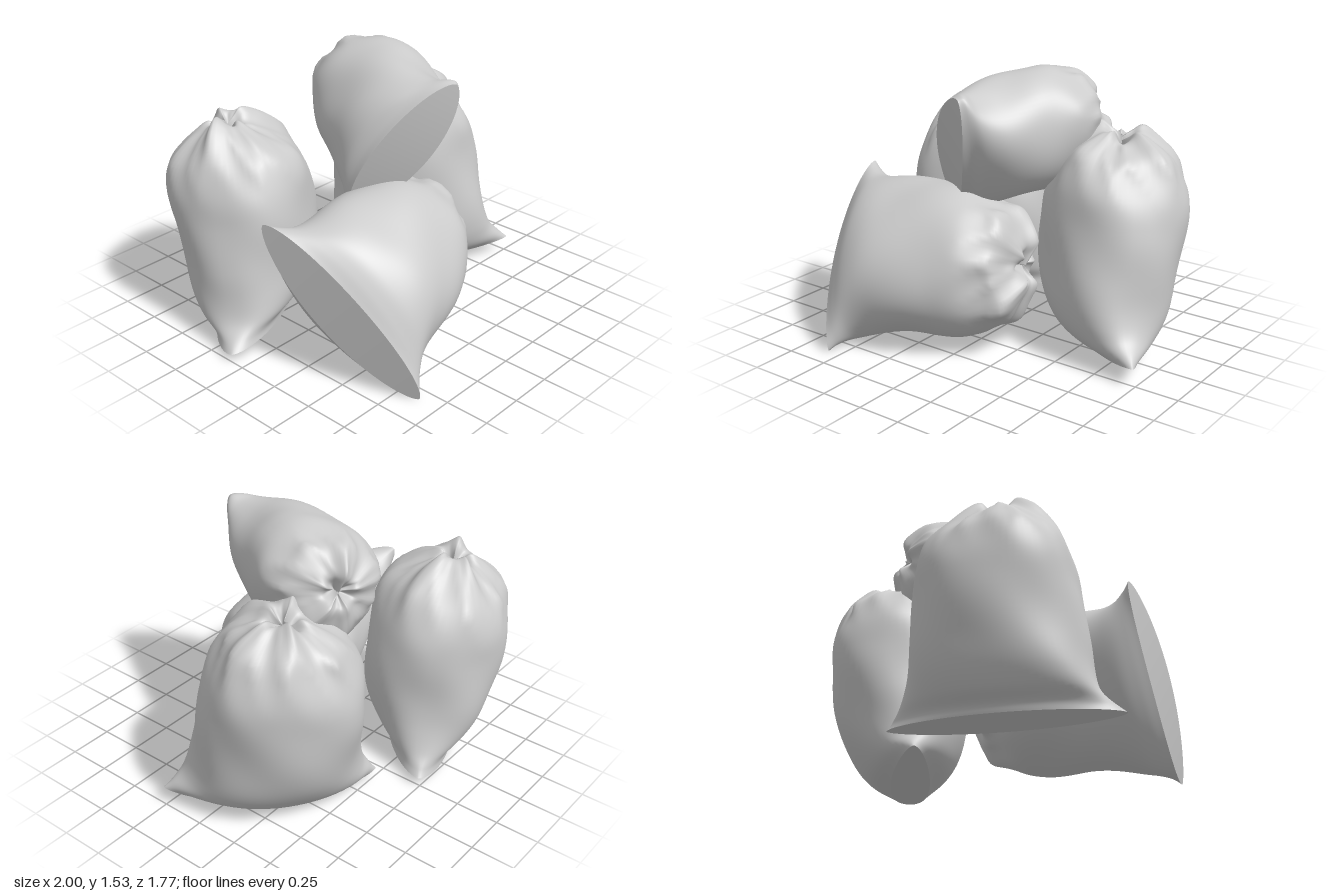
import * as THREE from 'three';

const V = (x, y, z) => new THREE.Vector3(x, y, z);
const material = new THREE.MeshStandardMaterial({ color: 0xcccccc, side: THREE.DoubleSide });

// Sack profile: half width along the seam, position along the axis, half depth
const PROFILE = [
  [0.6, 0, 0.15], [0.565, 0.04, 0.22], [0.51, 0.1, 0.29], [0.475, 0.2, 0.35],
  [0.455, 0.35, 0.385], [0.44, 0.55, 0.4], [0.415, 0.7, 0.39], [0.355, 0.82, 0.345],
  [0.265, 0.9, 0.265], [0.175, 0.96, 0.175], [0.1, 0.99, 0.1], [0.05, 0.96, 0.05], [0.001, 0.93, 0.001],
];

// Sharp-crested fold wave in the range -1..1
const fold = (a) => 1 - 2 * Math.abs(Math.sin(a / 2));

// A filled sack: seam from corner p to corner q with a lens-shaped sole, gathered crumpled mouth at top
function sack(name, { p, q, top, sole, sag, girth = 1, blunt = 1, belly = V(0, 0, 0), seed = 0 }) {
  const RINGS = 72, SEG = 80;
  const base = p.clone().add(q).multiplyScalar(0.5);
  const axis = top.clone().sub(base);
  const X = q.clone().sub(p), seamHalf = X.length() / 2;
  X.normalize();
  const Z = X.clone().cross(axis).normalize();
  const curve = new THREE.CatmullRomCurve3(PROFILE.map(([w, t, d], i) => {
    const k = i > 7 ? girth * blunt : girth;
    return i === 0 ? V(seamHalf, 0, sole) : V(w * k, t, d * k);
  }), false, 'centripetal');

  const pos = [], index = [];
  for (let i = 0; i <= RINGS; i++) {
    const u = i / RINGS;
    const { x: w, y: t, z: d } = curve.getPoint(u);
    const crumple = THREE.MathUtils.smoothstep(u, 0.45, 0.78);
    const body = THREE.MathUtils.smoothstep(u, 0, 0.2);
    const power = THREE.MathUtils.lerp(1.25, 0.88, body);
    for (let j = 0; j < SEG; j++) {
      const a = (j / SEG) * Math.PI * 2, s = Math.sin(a);
      // soft dents over the body, deep gathers towards the mouth
      const dents = 0.02 * body * (Math.sin(3 * a + 9 * t + seed) + Math.sin(5 * a - 13 * t + 2 * seed) * 0.6);
      const gathers = crumple * (0.08 * fold(7 * a + 5 * t + seed * 3) + 0.09 * Math.sin(3 * a - 8 * t + seed)
        + 0.04 * fold(13 * a - 20 * t + seed));
      const r = 1 + dents + gathers;
      const lift = t + crumple * (0.025 * Math.sin(2 * a + seed) + 0.02 * fold(5 * a + seed * 2));
      const v = base.clone().addScaledVector(axis, lift)
        .addScaledVector(belly, Math.sin(Math.PI * Math.min(t, 1)))
        .addScaledVector(sag, s * s * Math.max(1 - t, 0) ** 6)
        .addScaledVector(X, w * r * Math.cos(a))
        .addScaledVector(Z, d * r * Math.sign(s) * Math.abs(s) ** power);
      pos.push(v.x, v.y, v.z);
    }
  }
  for (let i = 0; i < RINGS; i++) {
    for (let j = 0; j < SEG; j++) {
      const k = (j + 1) % SEG;
      const a = i * SEG + j, b = i * SEG + k, c = a + SEG, d = b + SEG;
      index.push(a, c, b, b, c, d);
    }
  }
  // sole: a strip across the lens, on its own vertices so the edge stays crisp
  const start = pos.length / 3;
  pos.push(...pos.slice(0, SEG * 3));
  for (let j = 0; j < SEG / 2; j++) {
    const a = start + j, b = a + 1, c = start + (SEG - j) % SEG, d = start + SEG - j - 1;
    index.push(a, b, c, b, d, c);
  }

  const geometry = new THREE.BufferGeometry();
  geometry.setAttribute('position', new THREE.Float32BufferAttribute(pos, 3));
  geometry.setIndex(index);
  geometry.computeVertexNormals();
  const mesh = new THREE.Mesh(geometry, material);
  mesh.name = name;
  return mesh;
}

export function createModel() {
  const group = new THREE.Group();
  group.name = 'sackPile';
  group.add(
    // two upright sacks
    sack('backLeftStandingSack', {
      p: V(-1, 0.06, -0.08), q: V(0, 0.06, -0.74), top: V(-0.58, 1.19, -0.53),
      sole: 0.2, sag: V(0, 0, 0), belly: V(0.03, 0, 0), girth: 0.98, seed: 1.3,
    }),
    sack('rightStandingSack', {
      p: V(0.08, 0.07, -0.5), q: V(0.99, 0.12, 0.27), top: V(0.58, 1.22, -0.26),
      sole: 0.11, sag: V(0, -0.06, -0.02), belly: V(0, 0, -0.03), girth: 0.98, blunt: 1.12, seed: 4.1,
    }),
    // sack lying on its side in front
    sack('frontLyingSack', {
      p: V(-0.9, 0.87, 0.1), q: V(-0.58, 0.02, 0.88), top: V(0.29, 0.5, 0.18),
      sole: 0.15, sag: V(-0.03, 0, 0.01), girth: 0.97, blunt: 1.2, belly: V(0, 0.01, 0), seed: 2.4,
    }),
    // smaller sack resting on top
    sack('topLyingSack', {
      p: V(0.08, 1.46, 0.54), q: V(-0.28, 0.74, 0.13), top: V(0.32, 1.28, -0.42),
      sole: 0.16, sag: V(-0.02, 0, 0.03), girth: 0.8, blunt: 1.15, belly: V(0.01, 0, 0), seed: 5.7,
    }),
  );
  return group;
}
